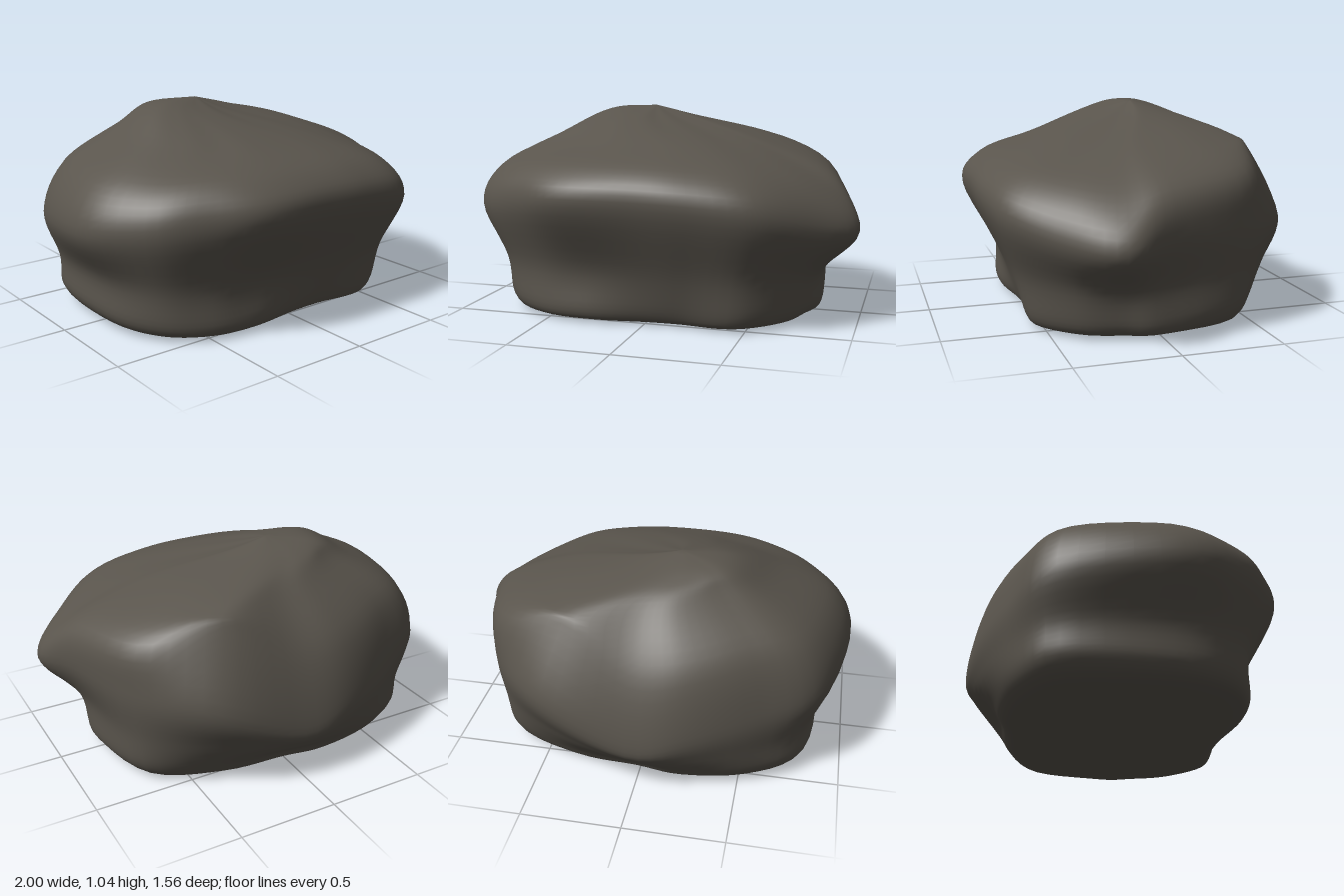
import * as THREE from 'three';
import { mergeVertices } from 'three/addons/utils/BufferGeometryUtils.js';

// Azimuths of the boulder's corners and hollows, in degrees from +x towards +z
const ANGLES = [0, 14, 30, 50, 70, 90, 115, 133, 150, 171, 204, 225, 250, 272, 302, 330];
const AROUND = 80;
const STEPS = 6;

// Cross-sections from the ground up: radius and height at each azimuth
const foot = {
  r: [0.80, 0.79, 0.79, 0.74, 0.59, 0.56, 0.65, 0.76, 0.84, 0.85, 0.89, 0.80, 0.68, 0.61, 0.68, 0.82],
  y: [0.07, 0.07, 0.07, 0.07, 0.07, 0.07, 0.07, 0.07, 0.08, 0.09, 0.10, 0.09, 0.09, 0.09, 0.10, 0.10],
};
const waist = {
  r: [0.82, 0.84, 0.84, 0.79, 0.67, 0.62, 0.66, 0.77, 0.87, 0.87, 0.90, 0.83, 0.76, 0.74, 0.78, 0.85],
  y: [0.27, 0.26, 0.27, 0.28, 0.28, 0.28, 0.28, 0.28, 0.28, 0.28, 0.26, 0.24, 0.21, 0.20, 0.26, 0.28],
};
const girth = {
  r: [0.91, 1.03, 0.96, 0.91, 0.81, 0.77, 0.84, 0.89, 0.97, 1.01, 0.97, 0.84, 0.79, 0.78, 0.86, 0.88],
  y: [0.51, 0.47, 0.50, 0.57, 0.60, 0.61, 0.61, 0.59, 0.56, 0.53, 0.50, 0.45, 0.38, 0.32, 0.49, 0.52],
};
const shoulder = {
  r: [0.85, 0.88, 0.84, 0.80, 0.73, 0.70, 0.75, 0.80, 0.87, 0.90, 0.86, 0.75, 0.70, 0.67, 0.70, 0.83],
  y: [0.73, 0.68, 0.70, 0.74, 0.76, 0.77, 0.77, 0.77, 0.75, 0.75, 0.75, 0.74, 0.69, 0.66, 0.82, 0.77],
};
const upper = {
  r: [0.50, 0.51, 0.51, 0.49, 0.46, 0.43, 0.47, 0.50, 0.55, 0.60, 0.58, 0.50, 0.48, 0.48, 0.61, 0.54],
  y: [0.88, 0.86, 0.85, 0.86, 0.87, 0.88, 0.88, 0.88, 0.89, 0.91, 0.93, 0.94, 0.92, 0.90, 0.90, 0.90],
};
const crown = {
  r: [0.20, 0.20, 0.20, 0.20, 0.20, 0.20, 0.20, 0.21, 0.23, 0.25, 0.25, 0.23, 0.20, 0.20, 0.20, 0.20],
  y: [1.00, 0.99, 0.98, 0.98, 0.98, 0.99, 1.00, 1.01, 1.02, 1.03, 1.03, 1.02, 1.01, 1.00, 1.00, 1.00],
  cx: -0.13, cz: -0.11,
};
const scaled = (ring, k, y) => ({ r: ring.r.map((r) => r * k), y: ANGLES.map(() => y) });
const centre = (x, y, z) => ({ r: ANGLES.map(() => 0), y: ANGLES.map(() => y), cx: x, cz: z });

// Smooth closed loop through one cross-section
function ringCurve({ r, y, cx = 0, cz = 0 }) {
  const points = ANGLES.map((deg, i) => {
    const a = THREE.MathUtils.degToRad(deg);
    return new THREE.Vector3(cx + r[i] * Math.cos(a), y[i], cz + r[i] * Math.sin(a));
  });
  return new THREE.CatmullRomCurve3(points, true, 'catmullrom', 0.5);
}

// Skin running over all the loops, closed at both ends
function boulderGeometry() {
  const rings = [centre(0, 0.01, 0), scaled(foot, 0.7, 0.01), scaled(foot, 0.9, 0.018), foot,
    waist, girth, shoulder, upper, crown, centre(-0.13, 1.05, -0.12)].map(ringCurve);
  const rows = (rings.length - 1) * STEPS;
  const positions = [];
  const index = [];
  for (let j = 0; j < AROUND; j++) {
    const column = new THREE.CatmullRomCurve3(
      rings.map((ring) => ring.getPoint(j / AROUND)), false, 'catmullrom', 0.5);
    for (let i = 0; i <= rows; i++) {
      const p = column.getPoint(i / rows);
      positions.push(p.x, Math.max(p.y, 0.008), p.z);
    }
  }
  for (let j = 0; j < AROUND; j++) {
    for (let i = 0; i < rows; i++) {
      const a = j * (rows + 1) + i;
      const b = ((j + 1) % AROUND) * (rows + 1) + i;
      if (i > 0) index.push(a, a + 1, b);
      if (i < rows - 1) index.push(b, a + 1, b + 1);
    }
  }
  const geometry = new THREE.BufferGeometry();
  geometry.setAttribute('position', new THREE.Float32BufferAttribute(positions, 3));
  geometry.setIndex(index);
  const welded = mergeVertices(geometry, 1e-5);
  welded.computeVertexNormals();
  return welded;
}

export function createModel() {
  const stone = new THREE.MeshStandardMaterial({ color: 0x5a554d });
  stone.name = 'darkStone';
  const boulder = new THREE.Mesh(boulderGeometry(), stone);
  boulder.name = 'boulder';
  const group = new THREE.Group();
  group.name = 'rock';
  group.add(boulder);
  return group;
}
